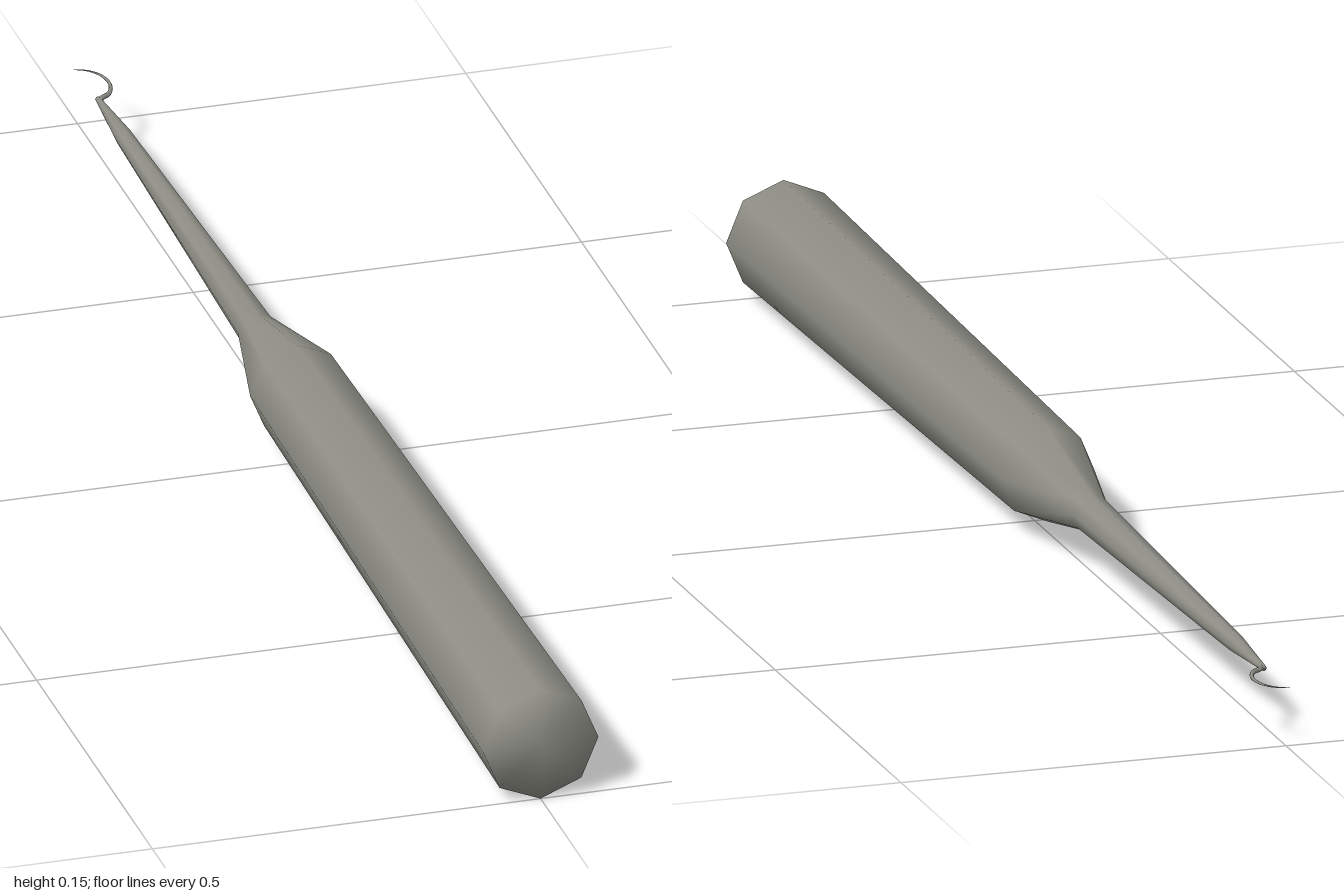
import * as THREE from 'three';

export function createModel() {
  const model = new THREE.Group();
  const axisY = 0.0745;
  const steel = new THREE.MeshStandardMaterial({ color: 0x8e8e86 });
  steel.name = 'dull steel';

  // Octagonal handle, shoulder and tapering shank: [radius, distance towards the back]
  const profile = [
    [0, -1], [0.0745, -1], [0.061, 0.05], [0.0245, 0.225],
    [0.0115, 0.8], [0.0035, 0.912], [0, 0.914],
  ].map(([r, d]) => new THREE.Vector2(r, d));
  const bodyGeometry = new THREE.LatheGeometry(profile, 8);
  bodyGeometry.rotateX(-Math.PI / 2);
  const body = new THREE.Mesh(bodyGeometry, steel);
  body.name = 'handleAndShank';
  body.position.y = axisY;
  model.add(body);

  // Fine hook, bulging to +x and thinning to a point
  const path = new THREE.CatmullRomCurve3([
    [0, -0.9], [0.005, -0.913], [0.016, -0.921], [0.024, -0.937], [0.0265, -0.956],
    [0.022, -0.977], [0.01, -0.993], [-0.005, -1],
  ].map(([x, z]) => new THREE.Vector3(x, 0, z)));
  const steps = 20, sides = 8, startRadius = 0.0038;
  const hookGeometry = new THREE.TubeGeometry(path, steps, startRadius, sides);
  const pos = hookGeometry.attributes.position;
  const v = new THREE.Vector3();
  for (let i = 0; i <= steps; i++) {
    const centre = path.getPointAt(i / steps);
    const scale = 1 - 0.9 * (i / steps);
    for (let j = 0; j <= sides; j++) {
      const k = i * (sides + 1) + j;
      v.fromBufferAttribute(pos, k).sub(centre).multiplyScalar(scale).add(centre);
      pos.setXYZ(k, v.x, v.y, v.z);
    }
  }
  const hook = new THREE.Mesh(hookGeometry, steel);
  hook.name = 'hook';
  hook.position.y = axisY;
  model.add(hook);

  return model;
}
